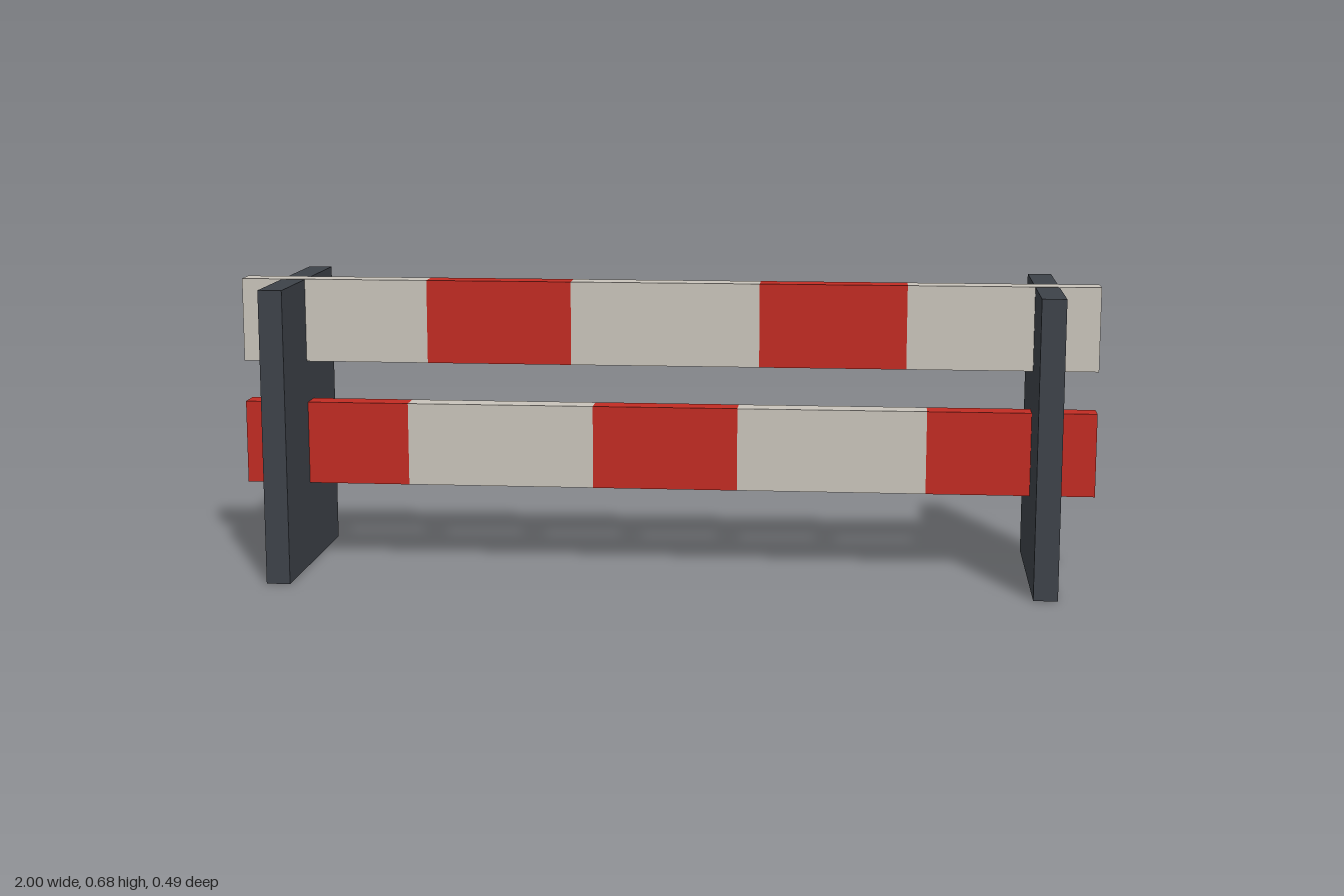
import * as THREE from 'three';

const material = (name, color) => {
  const m = new THREE.MeshStandardMaterial({ color });
  m.name = name;
  return m;
};

export function createModel() {
  const ivory = material('ivory', 0xc9c4bb);
  const red = material('red', 0xc22c23);
  const slate = material('slate', 0x3d4249);

  const model = new THREE.Group();
  model.name = 'barrier';

  const addBox = (parent, name, mat, x0, x1, y0, y1, depth) => {
    const mesh = new THREE.Mesh(new THREE.BoxGeometry(x1 - x0, y1 - y0, depth), mat);
    mesh.position.set((x0 + x1) / 2, (y0 + y1) / 2, 0);
    mesh.name = name;
    parent.add(mesh);
  };

  // Upright end panels, a hair below the top of the upper plank
  addBox(model, 'leftEndPanel', slate, 0.85, 0.905, 0, 0.682, 0.487);
  addBox(model, 'rightEndPanel', slate, -0.905, -0.85, 0, 0.682, 0.487);

  // Planks of alternating coloured blocks, passing through both panels
  const addPlank = (name, y0, y1, edges, colors) => {
    const plank = new THREE.Group();
    plank.name = name;
    for (let i = 0; i < edges.length - 1; i++) {
      const mat = colors[i % 2];
      addBox(plank, `${mat.name}Block`, mat, edges[i], edges[i + 1], y0, y1, 0.058);
    }
    model.add(plank);
  };
  addPlank('upperPlank', 0.488, 0.683, [-1, -0.56, -0.22, 0.22, 0.56, 1], [ivory, red]);
  addPlank('lowerPlank', 0.195, 0.39, [-1, -0.61, -0.17, 0.17, 0.61, 1], [red, ivory]);

  return model;
}
